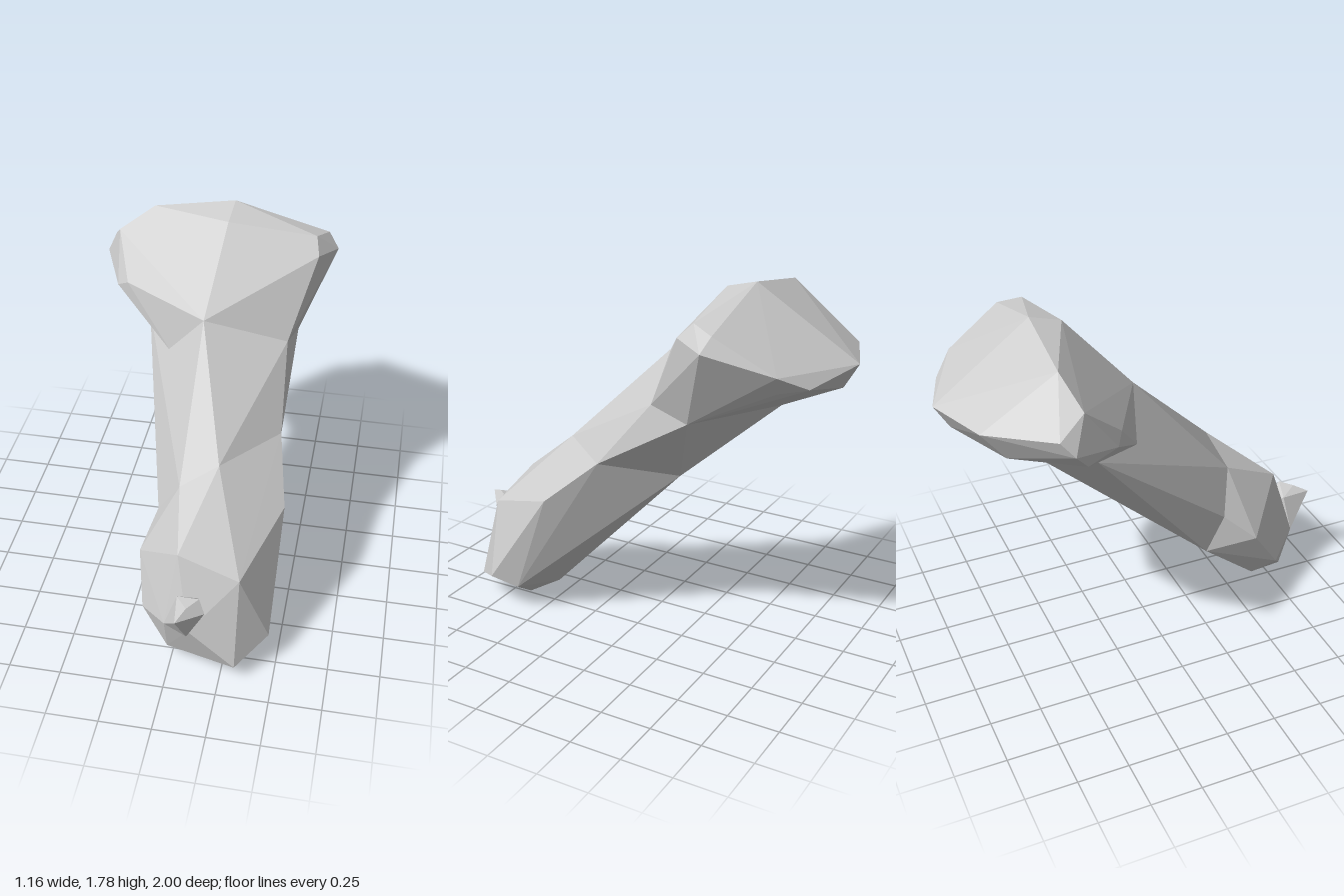
import * as THREE from 'three';
import { ConvexGeometry } from 'three/addons/geometries/ConvexGeometry.js';

const grey = new THREE.MeshStandardMaterial({ color: 0xcccccc, flatShading: true });
grey.name = 'stone grey';

// A faceted lump wrapped around a few corner points
function lump(name, corners) {
  const mesh = new THREE.Mesh(new ConvexGeometry(corners.map(c => new THREE.Vector3(...c))), grey);
  mesh.name = name;
  return mesh;
}

export function createModel() {
  const model = new THREE.Group();
  model.name = 'leaningMushroom';

  // Rings of corners shared by neighbouring parts
  const neck = [
    [0, 1.38, -0.05], [0.39, 1.24, -0.16], [0.42, 1.19, -0.36],
    [-0.07, 1.17, -0.6], [-0.33, 1.21, -0.36], [-0.17, 1.15, -0.1],
  ];
  const waist = [
    [0.16, 0.9, 0.42], [0.41, 0.9, 0.12], [0.2, 0.83, -0.21],
    [-0.15, 0.39, 0.29], [-0.14, 0.57, 0.39], [-0.02, 0.78, 0.46],
  ];

  // Broad cap: crown, right corner, back rim, left lobe, underside
  model.add(lump('cap', [
    ...neck,
    [0.07, 1.78, -0.52], [0.06, 1.74, -0.37], [-0.2, 1.71, -0.5], [-0.33, 1.71, -0.53],
    [0.48, 1.68, -0.42], [0.53, 1.65, -0.53], [0.58, 1.58, -0.5], [0.5, 1.61, -0.35],
    [0.46, 1.49, -0.8], [0.34, 1.42, -0.9], [0.4, 1.4, -0.78],
    [0.02, 1.46, -1], [0.02, 1.34, -0.93], [-0.29, 1.46, -0.88], [-0.3, 1.32, -0.77],
    [-0.5, 1.59, -0.48], [-0.55, 1.5, -0.61], [-0.58, 1.43, -0.55], [-0.53, 1.34, -0.48],
    [-0.48, 1.37, -0.32], [-0.42, 1.41, -0.28], [-0.33, 1.3, -0.24],
  ]));

  // Stalk between the cap and the swollen foot
  model.add(lump('stalk', [...neck, ...waist, [-0.16, 0.95, -0.16]]));

  // Swollen foot
  model.add(lump('foot', [
    ...waist,
    [0.47, 0.67, 0.39], [0.32, 0.53, 0.78], [0.03, 0.63, 0.76], [-0.2, 0.43, 0.55],
    [0.46, 0.17, 0.74], [0.43, 0.13, 0.6], [0.32, 0.09, 0.9], [0.13, 0.12, 0.84],
    [0.1, 0.29, 0.9], [-0.02, 0.28, 0.86], [-0.16, 0.21, 0.7], [-0.08, 0.11, 0.6],
    [-0.02, 0.07, 0.8], [0.12, 0, 0.74], [0.25, 0.01, 0.65], [0.2, 0.09, 0.5],
  ]));

  // Small knob on the front of the foot
  model.add(lump('knob', [
    [0.06, 0.44, 1], [0.1, 0.47, 0.93], [0.15, 0.48, 0.87], [0.18, 0.42, 0.9],
    [0.1, 0.29, 0.93], [-0.02, 0.28, 0.86], [0.04, 0.45, 0.84], [0.12, 0.4, 0.78],
  ]));

  return model;
}
